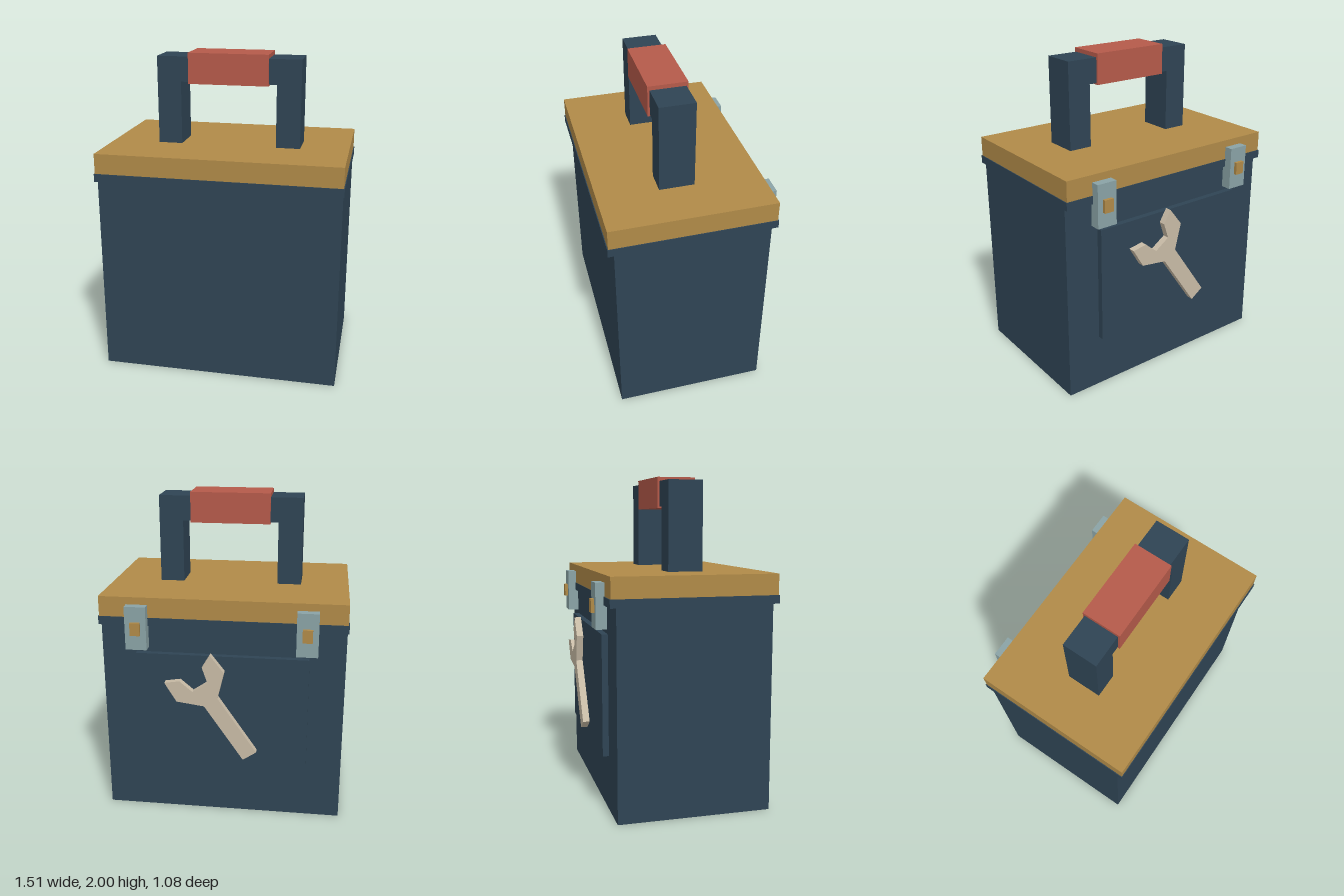
import * as THREE from 'three';

const mat = (name, color) => {
  const m = new THREE.MeshStandardMaterial({ color });
  m.name = name;
  return m;
};

export function createModel() {
  const group = new THREE.Group();
  const navy = mat('navy', 0x2f4454);
  const ochre = mat('ochre', 0xb08a48);
  const red = mat('brick red', 0xb55a4a);
  const steel = mat('pale steel', 0x8aa3a6);
  const bone = mat('warm grey', 0xc8bba6);

  // Box given by its extents on each axis
  const box = (name, material, [x0, x1], [y0, y1], [z0, z1]) => {
    const mesh = new THREE.Mesh(new THREE.BoxGeometry(x1 - x0, y1 - y0, z1 - z0), material);
    mesh.position.set((x0 + x1) / 2, (y0 + y1) / 2, (z0 + z1) / 2);
    mesh.name = name;
    group.add(mesh);
  };

  // Case, rim and lid
  box('body', navy, [-0.747, 0.747], [0, 1.28], [-0.433, 0.503]);
  box('rim', navy, [-0.755, 0.755], [1.255, 1.305], [-0.47, 0.54]);
  box('lid', ochre, [-0.75, 0.75], [1.305, 1.43], [-0.465, 0.535]);

  // Carrying handle
  box('handleBar', navy, [-0.3, 0.3], [1.82, 1.975], [-0.05, 0.165]);
  box('handleGrip', red, [-0.25, 0.25], [1.81, 2.0], [-0.062, 0.178]);

  // Handle posts and latches on both sides
  for (const s of [-1, 1]) {
    const side = s > 0 ? 'left' : 'right';
    const span = (a, b) => (s > 0 ? [a, b] : [-b, -a]);
    box(side + 'HandlePost', navy, span(0.3, 0.45), [1.43, 1.975], [-0.05, 0.165]);
    box(side + 'Latch', steel, span(0.45, 0.58), [1.115, 1.385], [-0.518, -0.452]);
    box(side + 'LatchButton', ochre, span(0.485, 0.545), [1.21, 1.29], [-0.538, -0.518]);
  }

  // Back panel
  box('backPanel', navy, [-0.53, 0.53], [0.345, 1.08], [-0.475, -0.438]);

  // Open-ended spanner: half outline mirrored about its long axis, then tilted
  const half = [[0.05, 0.27], [0.05, 0.695], [0.178, 0.81], [0.17, 0.95], [0.084, 0.91], [0.056, 0.81]];
  const outline = [...half, ...half.map(([x, y]) => [-x, y]).reverse()];
  const shape = new THREE.Shape(outline.map(([x, y]) => new THREE.Vector2(x, y)));
  const spanner = new THREE.Mesh(
    new THREE.ExtrudeGeometry(shape, { depth: 0.042, bevelEnabled: false }), bone);
  spanner.rotation.z = -0.6;
  spanner.position.set(-0.334, 0.229, -0.54);
  spanner.name = 'spanner';
  group.add(spanner);

  return group;
}
